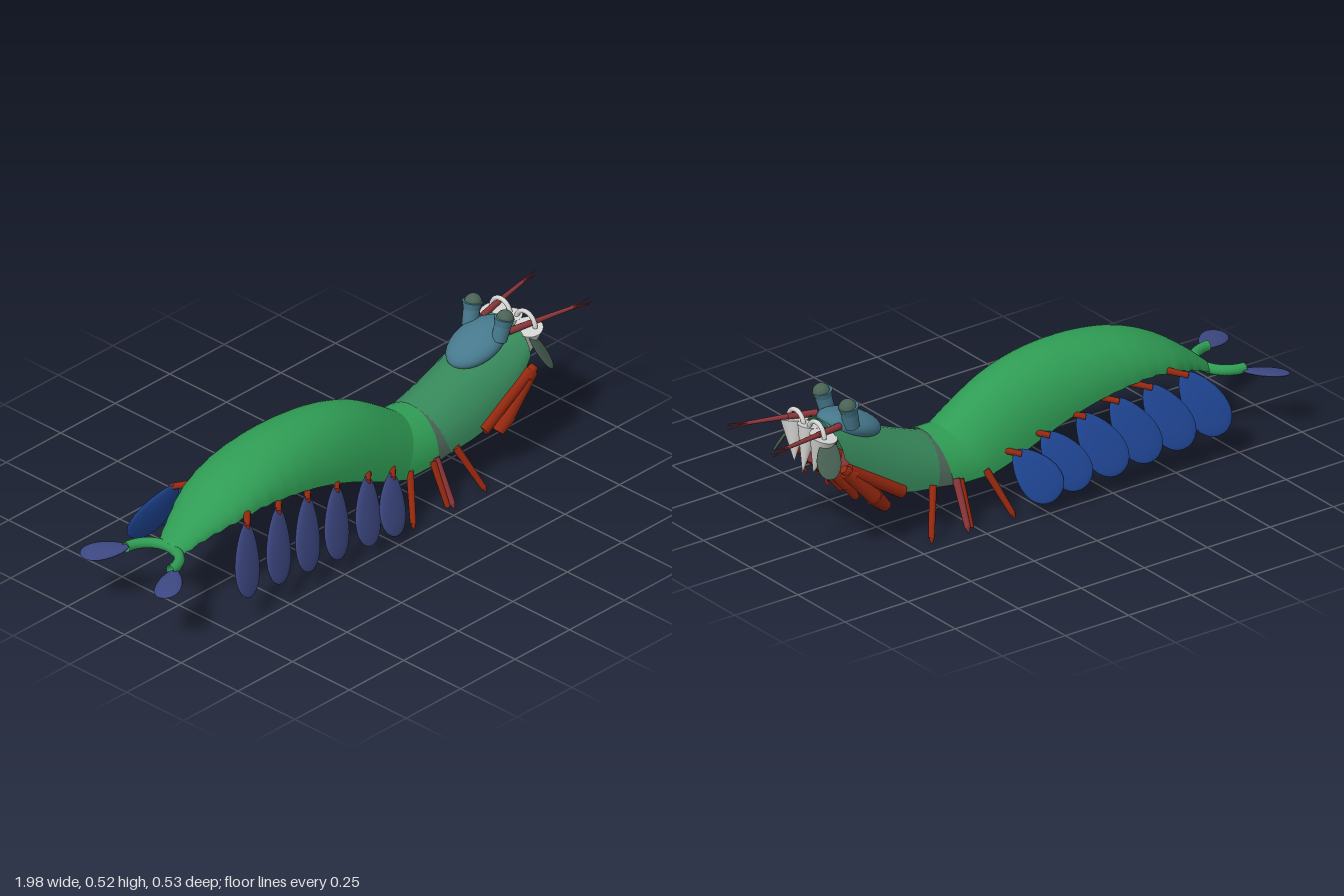
import * as THREE from 'three';

const mat = (name, color, side = THREE.FrontSide) => Object.assign(new THREE.MeshStandardMaterial({ color, side }), { name });
const V = (x, y, z) => new THREE.Vector3(x, y, z);

export function createModel() {
  const model = new THREE.Group();
  model.name = 'mantisShrimp';
  const D = THREE.DoubleSide;
  const green = mat('shellGreen', 0x2f9c54, D);
  const headGreen = mat('carapaceGreen', 0x36875a, D);
  const slate = mat('slateGreen', 0x4a6356, D);
  const teal = mat('teal', 0x46788c);
  const red = mat('limbRed', 0x96280f);
  const rose = mat('antennaRose', 0x8c363a);
  const violet = mat('violetBlue', 0x3c4781);
  const blue = mat('deepBlue', 0x1f4593);
  const white = mat('mouthWhite', 0xd4d4d2);

  function add(name, geo, material, parent = model) {
    const m = new THREE.Mesh(geo, material);
    m.name = name;
    parent.add(m);
    return m;
  }

  // Tapered round bar between two points
  function rod(name, a, b, r0, r1, material, sides = 10) {
    const d = b.clone().sub(a);
    const m = add(name, new THREE.CylinderGeometry(r1, r0, d.length(), sides), material);
    m.position.copy(a).addScaledVector(d, 0.5);
    m.quaternion.setFromUnitVectors(V(0, 1, 0), d.normalize());
    return m;
  }

  // Flat leaf from its narrow end a to its broad end b
  function leaf(name, a, b, widthDir, halfWidth, thick, taper, material) {
    const d = b.clone().sub(a), len = d.length();
    const g = new THREE.SphereGeometry(1, 24, 14), p = g.attributes.position;
    for (let i = 0; i < p.count; i++) p.setX(i, p.getX(i) * (1 + taper * p.getY(i)));
    g.scale(halfWidth, len / 2, thick);
    g.computeVertexNormals();
    const y = d.normalize();
    const x = widthDir.clone().addScaledVector(y, -widthDir.dot(y)).normalize();
    const m = add(name, g, material);
    m.quaternion.setFromRotationMatrix(new THREE.Matrix4().makeBasis(x, y, x.clone().cross(y)));
    m.position.copy(a).add(b).multiplyScalar(0.5);
    return m;
  }

  // Open arched shell; each station is [topX, topY, bottomX, bottomY, halfWidth]
  function shell(name, stations, material, arc, rows, saw = 0) {
    const pos = [], idx = [];
    const tops = new THREE.CatmullRomCurve3(stations.map(s => V(s[0], s[1], s[4])));
    const bots = new THREE.CatmullRomCurve3(stations.map(s => V(s[2], s[3], 0)));
    for (let i = 0; i <= rows; i++) {
      const t = tops.getPoint(i / rows), b = bots.getPoint(i / rows);
      const notch = 1 - saw * (i % 3) * Math.max(0, 1 - 1.8 * i / rows);
      for (let j = 0; j <= arc; j++) {
        const a = Math.PI * j / arc, s = Math.sin(a);
        pos.push(b.x + (t.x - b.x) * s, t.y + (b.y - t.y) * (1 - s) * notch, t.z * Math.cos(a) * notch);
        if (i < rows && j < arc) {
          const k = i * (arc + 1) + j, n = k + arc + 1;
          idx.push(k, n, k + 1, n, n + 1, k + 1);
        }
      }
    }
    const g = new THREE.BufferGeometry();
    g.setAttribute('position', new THREE.Float32BufferAttribute(pos, 3));
    g.setIndex(idx);
    g.computeVertexNormals();
    return add(name, g, material);
  }

  // Body: abdomen, joint rings and carapace
  shell('abdomen', [
    [-0.78, 0.235, -0.785, 0.20, 0.05], [-0.71, 0.295, -0.70, 0.245, 0.085],
    [-0.60, 0.372, -0.60, 0.285, 0.125], [-0.48, 0.425, -0.48, 0.307, 0.145],
    [-0.35, 0.453, -0.36, 0.302, 0.153], [-0.22, 0.46, -0.25, 0.285, 0.155],
    [-0.08, 0.447, -0.13, 0.25, 0.155], [0.05, 0.408, -0.02, 0.205, 0.153],
    [0.15, 0.352, 0.07, 0.165, 0.15], [0.25, 0.283, 0.14, 0.14, 0.145],
  ], green, 28, 54, 0.03);
  shell('thoraxRing', [[0.24, 0.285, 0.13, 0.14, 0.146], [0.31, 0.284, 0.29, 0.138, 0.142]], green, 20, 2);
  shell('neckJoint', [[0.305, 0.28, 0.29, 0.14, 0.139], [0.32, 0.282, 0.352, 0.148, 0.137]], slate, 20, 1);
  shell('carapace', [
    [0.31, 0.28, 0.35, 0.147, 0.138], [0.42, 0.32, 0.48, 0.168, 0.142],
    [0.55, 0.372, 0.59, 0.22, 0.143], [0.65, 0.412, 0.66, 0.285, 0.14], [0.72, 0.437, 0.71, 0.345, 0.132],
  ], headGreen, 16, 12);
  const plate = add('rostrumPlate', new THREE.SphereGeometry(1, 28, 16), teal);
  plate.scale.set(0.118, 0.045, 0.085);
  plate.position.set(0.6, 0.394, 0);
  plate.rotation.z = 0.36;

  // Curved tail bar
  const tail = add('tailBar', new THREE.TorusGeometry(0.1, 0.018, 10, 28, Math.PI), green);
  tail.rotation.set(Math.PI / 2, 0, -Math.PI / 2);
  tail.position.set(-0.87, 0.216, 0);

  const stems = [[-0.57, 0.305], [-0.43, 0.30], [-0.30, 0.288], [-0.17, 0.27], [-0.03, 0.243], [0.08, 0.208]];
  for (const s of [1, -1]) {
    const P = (x, y, z) => V(x, y, z * s);

    // Tail blades
    leaf('tailBlade', P(-0.855, 0.212, 0.103), P(-0.985, 0.2, 0.19), P(0.6, 0.15, 0.8), 0.043, 0.01, 0.25, violet);

    // Swimming paddles on short stems
    stems.forEach(([x, y], i) => {
      rod('paddleStem', P(x + 0.02, y, 0.125), P(x - 0.03, y - 0.012, 0.175), 0.012, 0.01, red);
      leaf('swimPaddle', P(x - 0.015, y - 0.003, 0.16), P(x - 0.11, 0.1 - i * 0.01, 0.257),
        P(1, 0, -0.3), 0.068, 0.012, 0.28, s > 0 ? violet : blue);
    });

    // Walking legs
    for (const [x0, x1, m] of [[0.165, 0.11, red], [0.28, 0.285, rose], [0.37, 0.425, red]]) {
      const hip = P(x0, 0.16, 0.138), foot = P(x1, 0.018, 0.208);
      rod('walkingLeg', hip, foot, 0.013, 0.01, m);
      rod('legTip', foot, P(x1 + (x1 - x0) * 0.08, 0.002, 0.216), 0.01, 0.002, m);
      if (m === rose) rod('walkingLeg', P(0.265, 0.155, 0.14), P(0.268, 0.01, 0.205), 0.012, 0.009, red);
    }

    // Folded striking claws
    rod('clawArm', P(0.49, 0.172, 0.138), P(0.70, 0.305, 0.138), 0.022, 0.02, red, 12);
    rod('clawForearm', P(0.71, 0.3, 0.14), P(0.59, 0.175, 0.142), 0.02, 0.026, red, 12);
    rod('clawClub', P(0.60, 0.185, 0.142), P(0.555, 0.14, 0.142), 0.029, 0.019, red, 12);
    rod('clawElbow', P(0.685, 0.285, 0.14), P(0.72, 0.315, 0.14), 0.024, 0.014, red, 12);

    // Small inner claws
    [[0, 0], [-0.06, 0.006]].forEach(([dx, dz]) => {
      rod('innerClawBase', P(0.69 + dx, 0.375 + dx * 0.5, 0.03), P(0.71 + dx, 0.27 + dx * 0.3, 0.045 + dz), 0.012, 0.017, rose);
      rod('innerClawArm', P(0.71 + dx, 0.28 + dx * 0.3, 0.045 + dz), P(0.64 + dx, 0.2 + dx * 0.3, 0.042 + dz), 0.017, 0.02, red);
      rod('innerClawTip', P(0.645 + dx, 0.21 + dx * 0.3, 0.042 + dz), P(0.6 + dx, 0.145 + dx * 0.15, 0.04 + dz), 0.02, 0.012, red);
    });
    const hook = add('clawHook', new THREE.TorusGeometry(0.022, 0.005, 8, 12, Math.PI), red);
    hook.position.set(0.71, 0.25, 0.06 * s);
    hook.rotation.z = -1;

    // Eyes on flared stalks
    rod('eyeStalk', P(0.635, 0.415, 0.066), P(0.65, 0.475, 0.071), 0.026, 0.028, teal, 16);
    rod('eyeCup', P(0.647, 0.462, 0.071), P(0.653, 0.492, 0.072), 0.026, 0.034, teal, 16);
    const eye = add('eye', new THREE.SphereGeometry(0.029, 18, 12), slate);
    eye.position.copy(P(0.656, 0.488, 0.072));

    // Antennae with split tips
    rod('antennaBase', P(0.68, 0.425, 0.062), P(0.78, 0.43, 0.084), 0.012, 0.01, rose);
    rod('antenna', P(0.77, 0.43, 0.082), P(0.92, 0.434, 0.112), 0.009, 0.006, rose);
    for (const [y, z] of [[0.446, 0.12], [0.436, 0.132], [0.424, 0.124]])
      rod('antennaTip', P(0.89, 0.433, 0.106), P(0.985, y, z), 0.005, 0.001, rose, 6);

    // White mouth loops and outer cones
    const loop = add('mouthLoop', new THREE.TorusGeometry(0.042, 0.008, 10, 20, Math.PI), white);
    loop.position.copy(P(0.765, 0.418, 0.056));
    loop.rotation.y = Math.PI / 2;
    rod('mouthCone', P(0.755, 0.418, 0.08), P(0.775, 0.285, 0.052), 0.046, 0.001, white, 24);
  }
  rod('mouthCone', V(0.755, 0.428, 0), V(0.78, 0.266, 0), 0.037, 0.001, white, 24);

  // Antennal scales
  leaf('antennalScale', V(0.735, 0.405, 0.098), V(0.8, 0.28, 0.145), V(0.65, 0.1, -0.65), 0.044, 0.006, 0.1, slate);
  leaf('antennalScale', V(0.74, 0.405, -0.095), V(0.8, 0.31, -0.168), V(1, 0, 0), 0.044, 0.005, 0.1, slate);

  // Slight turn of the whole animal
  model.rotation.y = -0.025;
  return model;
}
